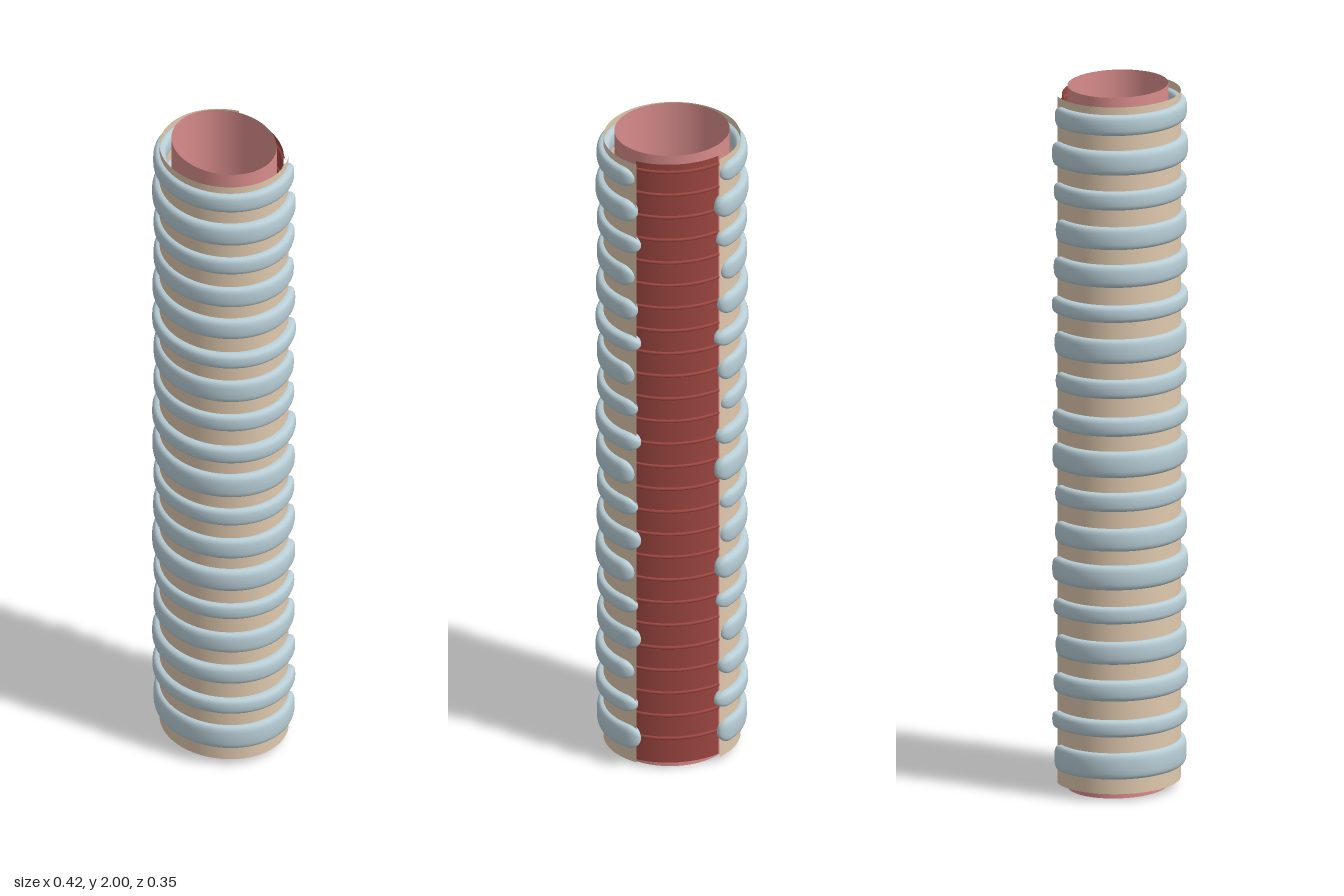
import * as THREE from 'three';
import { ParametricGeometry } from 'three/addons/geometries/ParametricGeometry.js';

const CZ = -0.018; // centre of the oval section
const BACK_GAP = 0.65; // half angle of the soft back wall

const mat = (color, side = THREE.FrontSide) =>
  new THREE.MeshStandardMaterial({ color, side });

// Point on an oval; angle 0 faces the front
const oval = (a, rx, rz, y) =>
  new THREE.Vector3(rx * Math.sin(a), y, CZ + rz * Math.cos(a));

// Thin oval wall, open at top and bottom
function wall(name, color, rx, rz, y0, y1, start, sweep) {
  const g = new THREE.CylinderGeometry(1, 1, y1 - y0, 96, 1, true, start, sweep);
  g.scale(rx, 1, rz).translate(0, (y0 + y1) / 2, CZ);
  const m = new THREE.Mesh(g, mat(color, THREE.DoubleSide));
  m.name = name;
  return m;
}

// C-shaped band with a soft rectangular section and rounded tips
function ringGeometry(y, halfHeight, halfDepth, endLeft, endRight) {
  const cap = 0.2;
  const soft = (c) => Math.sign(c) * Math.pow(Math.abs(c), 0.65);
  return new ParametricGeometry((u, v, target) => {
    // ease the spacing so that the tips get more steps
    const t = u - Math.sin(2 * Math.PI * u) * 0.14;
    const a = -endRight + (endLeft + endRight) * t;
    const fromTip = Math.min(a + endRight, endLeft - a);
    const d = 1 - Math.min(1, Math.max(0, fromTip / cap));
    const s = Math.sqrt(Math.max(0, 1 - d * d));
    const phi = v * 2 * Math.PI;
    const r = halfDepth * s * soft(Math.cos(phi));
    target.copy(oval(a, 0.191 + r, 0.171 + r, y + halfHeight * s * soft(Math.sin(phi))));
  }, 96, 20);
}

export function createModel() {
  const model = new THREE.Group();

  // Inner lining and outer sheath, the sheath open at the back
  model.add(wall('innerLining', 0xd98c8c, 0.16, 0.137, 0, 2, 0, Math.PI * 2));
  model.add(wall('outerSheath', 0xe0c9ae, 0.19, 0.172, 0.02, 1.98,
    -Math.PI + BACK_GAP, 2 * (Math.PI - BACK_GAP)));

  // Soft back wall with thin cross ridges
  const red = 0x9c4640;
  model.add(wall('backMuscle', red, 0.19, 0.15, 0.02, 1.98, Math.PI - BACK_GAP, 2 * BACK_GAP));
  const ridges = new THREE.Group();
  ridges.name = 'muscleRidges';
  const points = [];
  for (let i = 0; i <= 12; i++) {
    points.push(oval(Math.PI + BACK_GAP * (i / 6 - 1), 0.19, 0.15, 0));
  }
  const ridgeGeometry = new THREE.TubeGeometry(new THREE.CatmullRomCurve3(points), 28, 0.005, 8);
  for (let i = 0; i < 26; i++) {
    const ridge = new THREE.Mesh(ridgeGeometry, mat(red));
    ridge.name = 'muscleRidge';
    ridge.position.y = 0.1 + i * 0.0742;
    ridges.add(ridge);
  }
  model.add(ridges);

  // Stiff rings from bottom to top, each a little different in height
  const heights = [74, 48, 58, 64, 48, 69, 64, 53, 74, 53, 53, 69, 48, 64, 64, 53, 69, 58];
  const depths = [17, 20, 21, 17, 17, 21, 18, 17, 20, 21, 17, 17, 21, 20, 17, 17, 21, 18];
  const rings = new THREE.Group();
  rings.name = 'rings';
  heights.forEach((h, i) => {
    const endLeft = 2.51 + 0.06 * Math.sin(i * 2.1 + 1);
    const endRight = 2.52 + 0.06 * Math.sin(i * 1.7);
    const ring = new THREE.Mesh(
      ringGeometry(0.1 + i * 0.1076, h / 2000, depths[i] / 1000, endLeft, endRight),
      mat(0xb8ced6));
    ring.name = 'ring';
    rings.add(ring);
  });
  model.add(rings);

  return model;
}
